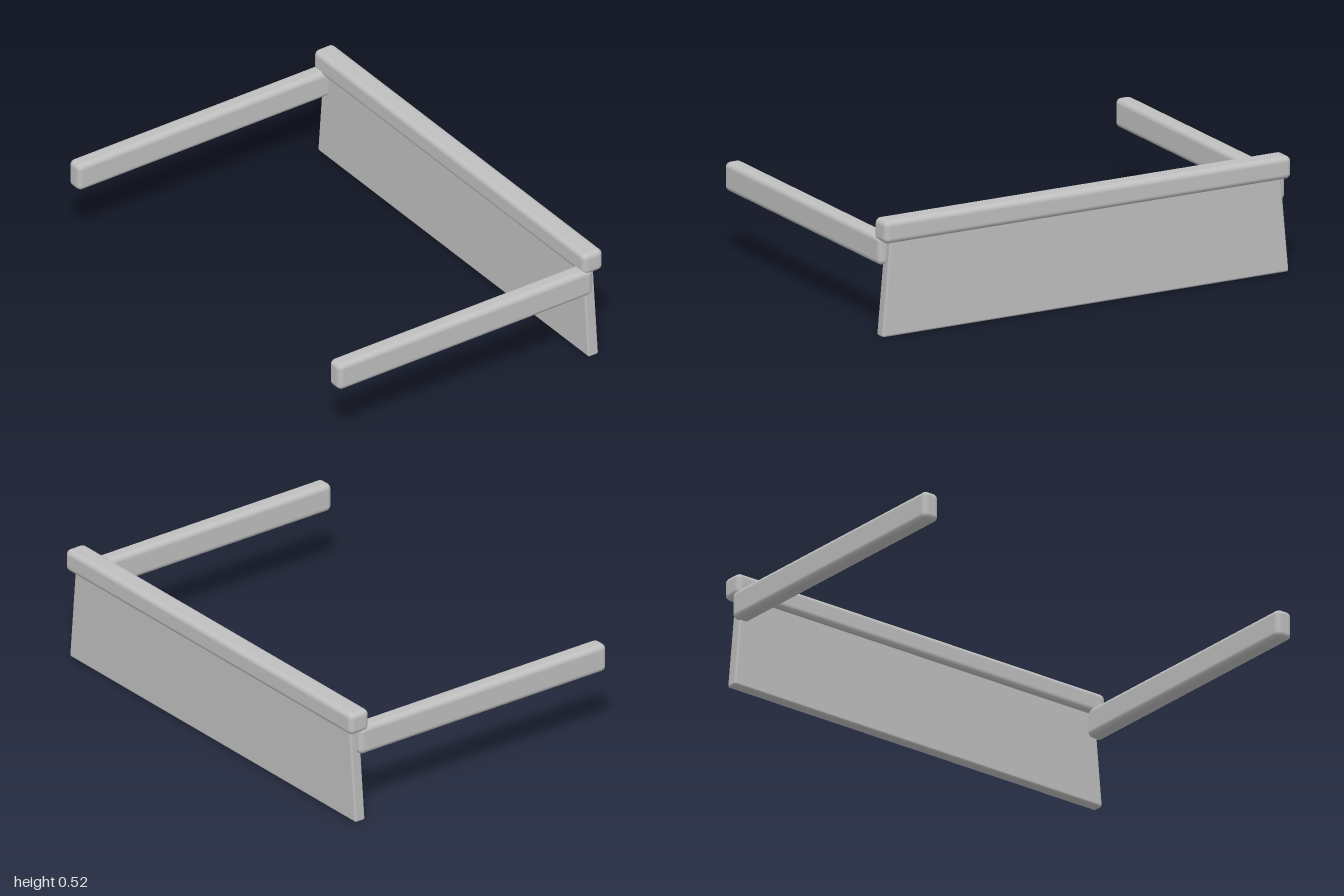
import * as THREE from 'three';
import { RoundedBoxGeometry } from 'three/addons/geometries/RoundedBoxGeometry.js';

const grey = new THREE.MeshStandardMaterial({ color: 0xbfbfbf });
grey.name = 'light grey';

// Softly rounded block given by its minimum and maximum corners
function block(name, min, max, radius) {
  const size = max.map((v, i) => v - min[i]);
  const geometry = new RoundedBoxGeometry(...size, 4, radius);
  geometry.translate(...max.map((v, i) => (v + min[i]) / 2));
  const mesh = new THREE.Mesh(geometry, grey);
  mesh.name = name;
  return mesh;
}

export function createModel() {
  const group = new THREE.Group();
  group.name = 'barrier';

  // Long rail across the back
  group.add(block('topRail', [-1, 0.418, -0.69], [1, 0.52, -0.587], 0.025));

  // Hanging panel, narrowing towards the rail
  const panel = block('backPanel', [-1, 0, -0.664], [1, 0.46, -0.611], 0.01);
  const p = panel.geometry.attributes.position;
  for (let i = 0; i < p.count; i++) p.setX(i, p.getX(i) * (1 - 0.092 * p.getY(i)));
  group.add(panel);

  // Arms reaching forward on both sides
  for (const [name, x] of [['leftArm', 0.96], ['rightArm', -0.96]]) {
    group.add(block(name, [x - 0.04, 0.31, -0.637], [x + 0.04, 0.44, 0.69], 0.025));
  }
  return group;
}
